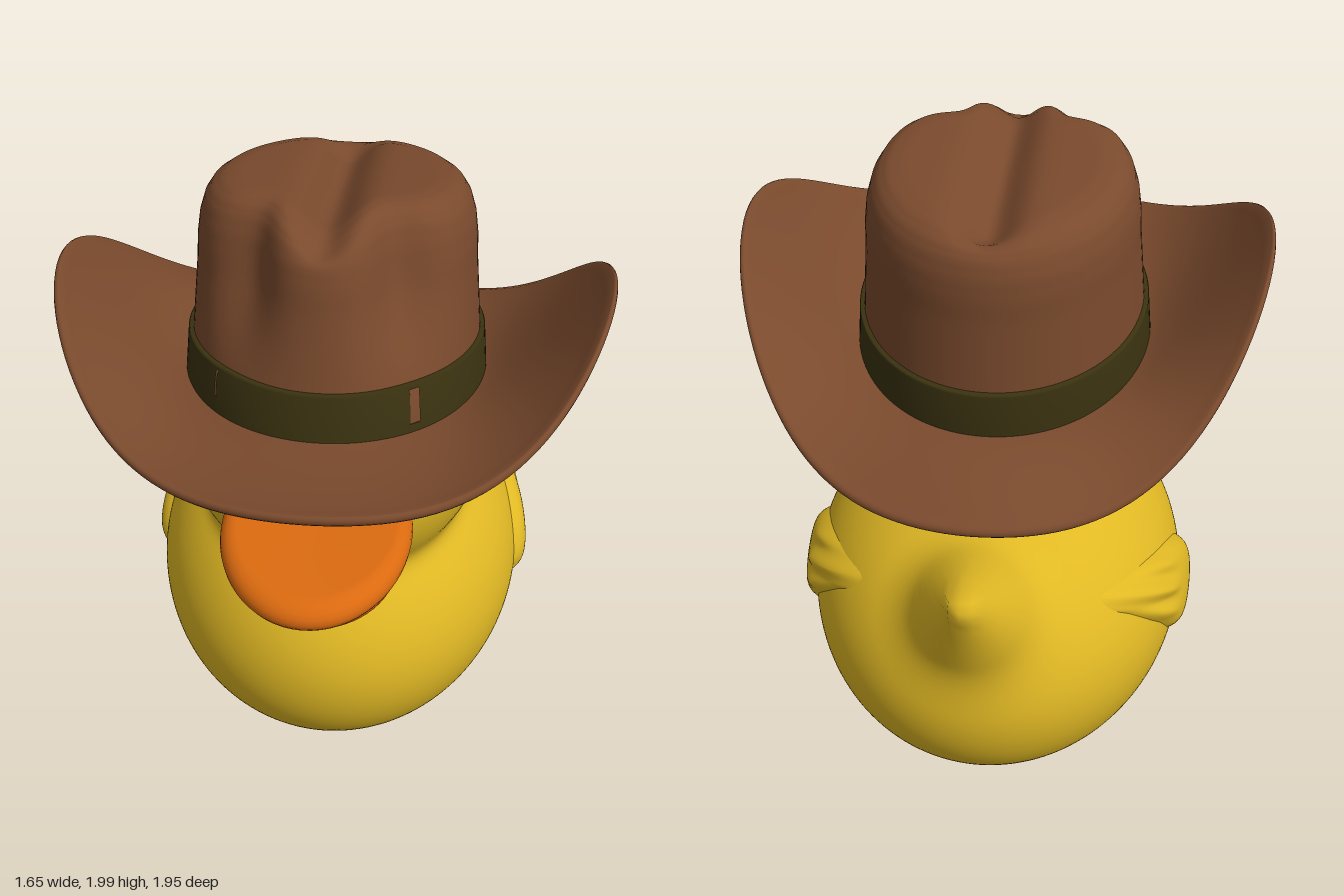
import * as THREE from 'three';
import { mergeVertices } from 'three/addons/utils/BufferGeometryUtils.js';

const mat = (name, color) => Object.assign(new THREE.MeshStandardMaterial({ color }), { name });
const V = (x, y, z) => new THREE.Vector3(x, y, z);
const { lerp, clamp, smoothstep } = THREE.MathUtils;

// Weld and smooth a geometry
function smooth(geo) {
  geo.deleteAttribute('uv');
  geo.deleteAttribute('normal');
  const g = mergeVertices(geo, 1e-5);
  g.computeVertexNormals();
  return g;
}

// Surface from a rule fn(u, v) with u, v in 0..1
function grid(nu, nv, fn) {
  const pos = [], idx = [], w = nv + 1;
  for (let i = 0; i <= nu; i++)
    for (let j = 0; j <= nv; j++) pos.push(...fn(i / nu, j / nv).toArray());
  for (let i = 0; i < nu; i++)
    for (let j = 0; j < nv; j++) {
      const a = i * w + j, b = a + w;
      idx.push(a, b, b + 1, a, b + 1, a + 1);
    }
  const g = new THREE.BufferGeometry();
  g.setAttribute('position', new THREE.Float32BufferAttribute(pos, 3));
  g.setIndex(idx);
  return smooth(g);
}

function mirrorX(geo) {
  const g = geo.clone(), ix = g.index.array;
  const p = g.attributes.position;
  for (let i = 0; i < p.count; i++) p.setX(i, -p.getX(i));
  for (let i = 0; i < ix.length; i += 3) [ix[i], ix[i + 1]] = [ix[i + 1], ix[i]];
  g.computeVertexNormals();
  return g;
}

// Body field: belly, head and tail blended softly, cut flat at the ground
function ellipsoid(p, c, r) {
  const q = p.clone().sub(c).divide(r), k0 = q.length();
  return k0 * (k0 - 1) / Math.max(q.divide(r).length(), 1e-6);
}
function blend(a, b, k) {
  const h = Math.max(k - Math.abs(a - b), 0) / k;
  return Math.min(a, b) - h * h * k / 4;
}
const BELLY = [V(0, 0.48, -0.085), V(0.63, 0.58, 0.785)];
const HEAD = [V(0, 1.17, 0.13), V(0.495, 0.5, 0.52)];
const TAIL0 = V(0, 0.55, -0.45), TAIL_AXIS = V(0, 0.48, -0.47);
function field(p) {
  const q = p.clone().sub(TAIL0);
  const t = clamp(q.dot(TAIL_AXIS) / TAIL_AXIS.lengthSq(), 0, 1);
  const tail = q.addScaledVector(TAIL_AXIS, -t).length() - lerp(0.39, 0.05, t);
  const body = blend(ellipsoid(p, ...BELLY), ellipsoid(p, ...HEAD), 0.07);
  return Math.max(blend(body, tail, 0.07), -p.y);
}
// Walk from p along d until the body surface is met
function trace(p, d) {
  const q = p.clone();
  for (let i = 0; i < 120; i++) {
    const f = field(q);
    if (f < 2e-4) break;
    q.addScaledVector(d, f * 0.65);
  }
  return q;
}

function bodyGeometry() {
  const g = new THREE.SphereGeometry(1, 160, 110), p = g.attributes.position;
  const c = V(0, 0.65, -0.1), d = V();
  for (let i = 0; i < p.count; i++) {
    d.fromBufferAttribute(p, i).normalize();
    const q = trace(c.clone().addScaledVector(d, 1.6), d.clone().negate());
    p.setXYZ(i, q.x, Math.max(q.y, 0), q.z);
  }
  return smooth(g);
}

// Teardrop wing raised from the flank, feathered near its tip
function wingGeometry() {
  const outline = new THREE.CatmullRomCurve3([
    [0.58, 0.79], [0.42, 0.78], [0.22, 0.73], [0.07, 0.655], [0, 0.58], [-0.03, 0.5],
    [0, 0.43], [0.09, 0.38], [0.19, 0.37], [0.3, 0.42], [0.43, 0.56], [0.54, 0.69], [0.59, 0.75],
  ].map(([w, y]) => V(w, y, 0)), true);
  const mid = V(0.22, 0.57, 0);
  return grid(80, 16, (u, v) => {
    const r = 1 - v;
    const o = outline.getPoint(u % 1).lerp(mid, v);
    const along = (o.x - mid.x) * 0.85 + (o.y - mid.y) * 0.53;
    const across = (o.y - mid.y) * 0.85 - (o.x - mid.x) * 0.53;
    const feather = 0.013 * Math.cos(across * 75) * smoothstep(along, 0.05, 0.2) * (1 - r ** 6);
    const q = trace(V(1.1, o.y, -o.x), V(-1, 0, 0));
    q.x += -0.012 + 0.05 * (1 - r ** 7) + feather;
    return q;
  });
}

// Thin oval lying on the face
function faceOval(cx, cy, rx, ry, tilt, lift) {
  return grid(36, 6, (u, v) => {
    const a = u * Math.PI * 2, ex = Math.cos(a) * rx * (1 - v), ey = Math.sin(a) * ry * (1 - v);
    const x = cx + ex * Math.cos(tilt) - ey * Math.sin(tilt);
    const y = cy + ex * Math.sin(tilt) + ey * Math.cos(tilt);
    const q = trace(V(x, y, 1.2), V(0, 0, -1));
    q.z += lift;
    return q;
  });
}

// Rounded bill plate
function billGeometry(rx, rz, half, y, slope) {
  const pts = [V(0, -half), V(0.4, -half)];
  for (let i = 0; i <= 10; i++) {
    const a = (i / 10 - 0.5) * Math.PI;
    pts.push(V(0.82 + 0.18 * Math.cos(a), half * Math.sin(a)));
  }
  pts.push(V(0.4, half), V(0, half));
  const g = new THREE.LatheGeometry(pts, 64), p = g.attributes.position;
  for (let i = 0; i < p.count; i++) {
    const x = p.getX(i) * rx, z = p.getZ(i) * rz;
    p.setXYZ(i, x, y + p.getY(i) - slope * z + 0.15 * x * x, 0.62 + z);
  }
  return smooth(g);
}

// Hat crown: angle a from the front, height h, size s
const SIDE = [[0, 1], [0.15, 0.98], [0.3, 0.96], [0.45, 0.94], [0.6, 0.92], [0.72, 0.91], [0.82, 0.89],
  [0.9, 0.855], [0.95, 0.81], [0.985, 0.74], [1, 0.64], [1, 0.5], [1, 0.36], [1, 0.22], [1, 0.1], [1, 0]];
const rimY = z => 1.335 + 0.12 * z;
function crownPoint(a, h, s) {
  const dent = 0.17 * Math.exp(-(((Math.abs(a) - 0.6) / 0.27) ** 2)) * smoothstep(h, 0.15, 0.75);
  const r = s * (1 - dent);
  const x = 0.455 * r * Math.sin(a);
  const z = 0.07 - 0.065 * h + 0.53 * r * Math.cos(a);
  const crease = 0.075 * Math.exp(-((x / 0.075) ** 2)) * smoothstep(h, 0.8, 1) * smoothstep(z, -0.46, -0.3);
  return V(x, lerp(rimY(z), Math.min(1.96 + 0.14 * z, 2.005), h) - crease, z);
}
function crownGeometry() {
  const n = SIDE.length - 1;
  return grid(128, n * 3, (u, v) => {
    const i = Math.min(Math.floor(v * n + 1e-6), n - 1), t = v * n - i;
    const [h, s] = [0, 1].map(k => lerp(SIDE[i][k], SIDE[i + 1][k], t));
    return crownPoint((u - 0.5) * 2 * Math.PI, h, s);
  });
}
// Strip wrapped on the crown between two angles
function bandGeometry(a0, a1, h0, h1, grow, n) {
  const section = [[h0, -0.03], [h0, grow - 0.006], [h0 + 0.01, grow], [(h0 + h1) / 2, grow],
    [h1 - 0.01, grow], [h1, grow - 0.006], [h1, -0.03]];
  return grid(n, 6, (u, v) => {
    const [h, g] = section[Math.round(v * 6)];
    return crownPoint(lerp(a0, a1, u), h, 1 - h * 0.133 + g);
  });
}

// Brim: dips front and back, curls up at the sides, with a rolled edge
function brimGeometry() {
  const n = 18, edge = 6;
  return grid(144, 2 * n + edge, (u, v) => {
    const a = u * 2 * Math.PI, j = Math.round(v * (2 * n + edge));
    let s = 1, lift = 0, out = 0;
    if (j < n) { s = j / n; lift = -0.014; }
    else if (j > n + edge) { s = (2 * n + edge - j) / n; lift = 0.014; }
    else {
      const b = ((j - n) / edge - 0.5) * Math.PI;
      lift = 0.016 * Math.sin(b);
      out = 0.014 * Math.cos(b);
    }
    const x = (lerp(0.44, 0.81, s) + out) * Math.sin(a);
    const z = lerp(0.07, 0.1, s) + (lerp(0.52, 0.852, s) + out) * Math.cos(a);
    const y0 = rimY(0.07 + 0.52 * Math.cos(a));
    const y1 = 1.295 + 0.156 * (z - 0.1) + 0.41 * Math.sin(a) ** 4;
    return V(x, lerp(y0, y1, s ** 1.35) + lift, z);
  });
}

export function createModel() {
  const yellow = mat('duck yellow', 0xe0b824), orange = mat('bill orange', 0xdb6a10);
  const brown = mat('hat brown', 0x7a4a2d), olive = mat('band olive', 0x3a3210);
  const black = mat('eye black', 0x0c0b0b);
  const model = new THREE.Group();
  model.name = 'duckWithHat';
  const add = (name, geo, material, parent = model) => {
    const m = new THREE.Mesh(geo, material);
    m.name = name;
    parent.add(m);
  };
  const addPair = (name, geo, material) => {
    add('left' + name, geo, material);
    add('right' + name, mirrorX(geo), material);
  };

  add('body', bodyGeometry(), yellow);
  addPair('Wing', wingGeometry(), yellow);
  add('upperBill', billGeometry(0.28, 0.36, 0.05, 1.1, 0.08), orange);
  add('lowerBill', billGeometry(0.245, 0.27, 0.05, 0.99, 0), orange);
  addPair('Eye', faceOval(0.3, 1.29, 0.073, 0.102, 0.12, 0.006), black);
  addPair('EyeGlint', faceOval(0.28, 1.335, 0.02, 0.024, 0, 0.011), brown);
  addPair('EyeSmallGlint', faceOval(0.33, 1.275, 0.009, 0.011, 0, 0.011), brown);

  const hat = new THREE.Group();
  hat.name = 'hat';
  model.add(hat);
  add('brim', brimGeometry(), brown, hat);
  add('crown', crownGeometry(), brown, hat);
  add('hatBand', bandGeometry(-Math.PI, Math.PI, 0.01, 0.25, 0.032, 128), olive, hat);
  add('bandGapLeft', bandGeometry(0.58, 0.65, 0.06, 0.23, 0.037, 4), brown, hat);
  add('bandGapRight', bandGeometry(-0.74, -0.72, 0.1, 0.23, 0.037, 2), brown, hat);
  return model;
}
